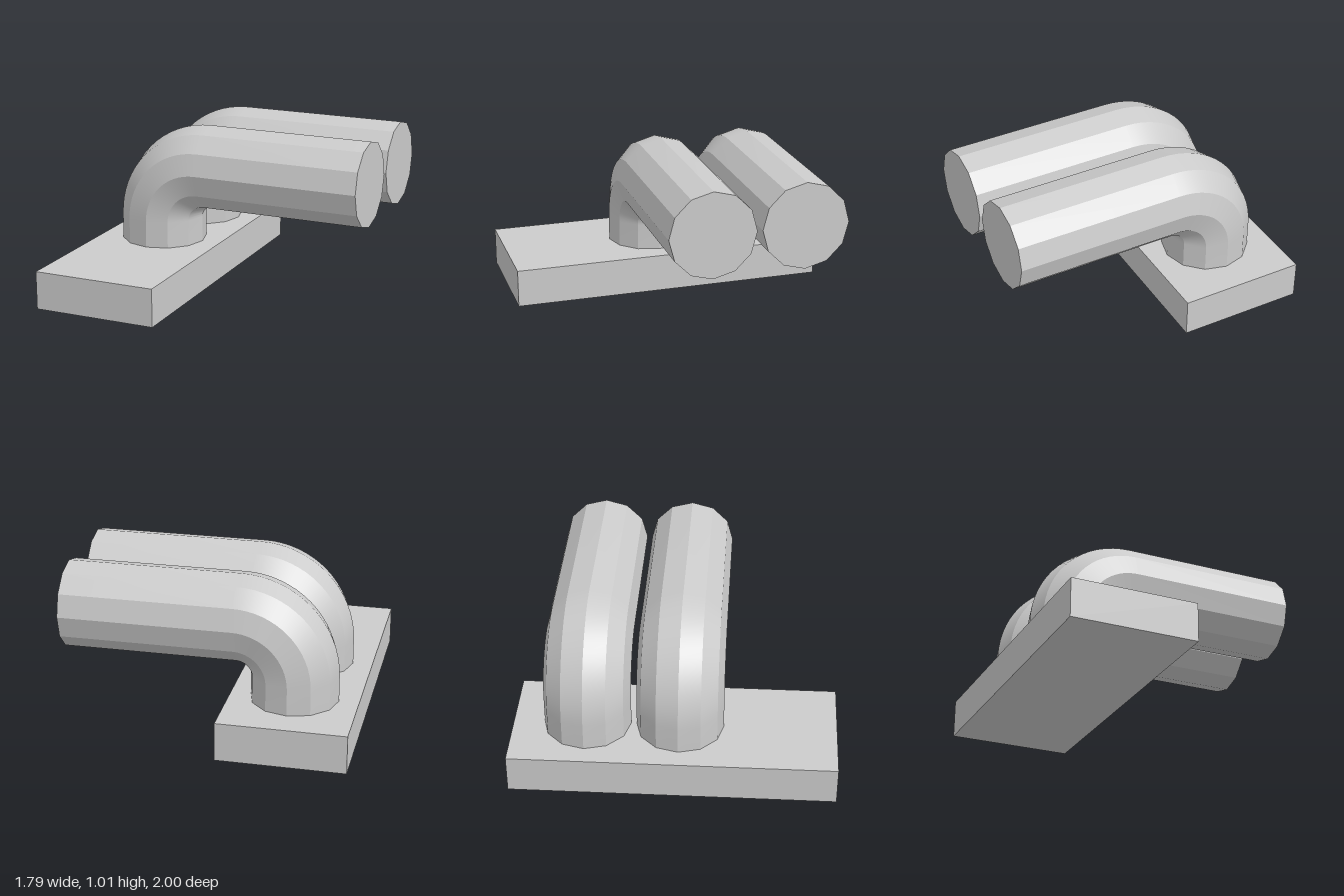
import * as THREE from 'three';
import { toCreasedNormals } from 'three/addons/utils/BufferGeometryUtils.js';

const material = new THREE.MeshStandardMaterial({ color: 0xcccccc });

const PIPE_RADIUS = 0.27;
const BEND_RADIUS = 0.335;
const BEND_CENTRE = { x: -0.17, y: 0.405 };
const BEND_STEPS = 16;
const BASE_TOP = 0.24;
const PIPE_END = 0.89;

// Centre and turn angle of each cross-section: upright, bend, then level run
function pipeStations() {
  const stations = [{ x: BEND_CENTRE.x - BEND_RADIUS, y: BASE_TOP, a: 0 }];
  for (let i = 0; i <= BEND_STEPS; i++) {
    const a = (i / BEND_STEPS) * Math.PI / 2;
    stations.push({
      x: BEND_CENTRE.x - BEND_RADIUS * Math.cos(a),
      y: BEND_CENTRE.y + BEND_RADIUS * Math.sin(a),
      a,
    });
  }
  stations.push({ x: PIPE_END, y: BEND_CENTRE.y + BEND_RADIUS, a: Math.PI / 2 });
  return stations;
}

// Twelve-sided capped cylinder whose rows are moved onto the stations
function elbowGeometry() {
  const stations = pipeStations();
  const rows = stations.length - 1;
  const geometry = new THREE.CylinderGeometry(PIPE_RADIUS, PIPE_RADIUS, 1, 12, rows);
  const pos = geometry.attributes.position;
  for (let i = 0; i < pos.count; i++) {
    const s = stations[Math.round((pos.getY(i) + 0.5) * rows)];
    const across = pos.getX(i);
    pos.setXY(i, s.x + across * Math.cos(s.a), s.y - across * Math.sin(s.a));
  }
  // Flat sides around the pipe, smooth along the bend
  return toCreasedNormals(geometry, 0.35);
}

export function createModel() {
  const model = new THREE.Group();
  model.name = 'twinPipeElbow';

  // Flat base slab
  const base = new THREE.Mesh(new THREE.BoxGeometry(0.785, BASE_TOP, 2), material);
  base.name = 'basePlate';
  base.position.set(-0.505, BASE_TOP / 2, 0);
  model.add(base);

  // Two matching bent pipes side by side
  const elbow = elbowGeometry();
  [['frontPipe', 0.032], ['backPipe', -0.541]].forEach(([name, z]) => {
    const pipe = new THREE.Mesh(elbow, material);
    pipe.name = name;
    pipe.position.z = z;
    model.add(pipe);
  });

  return model;
}
